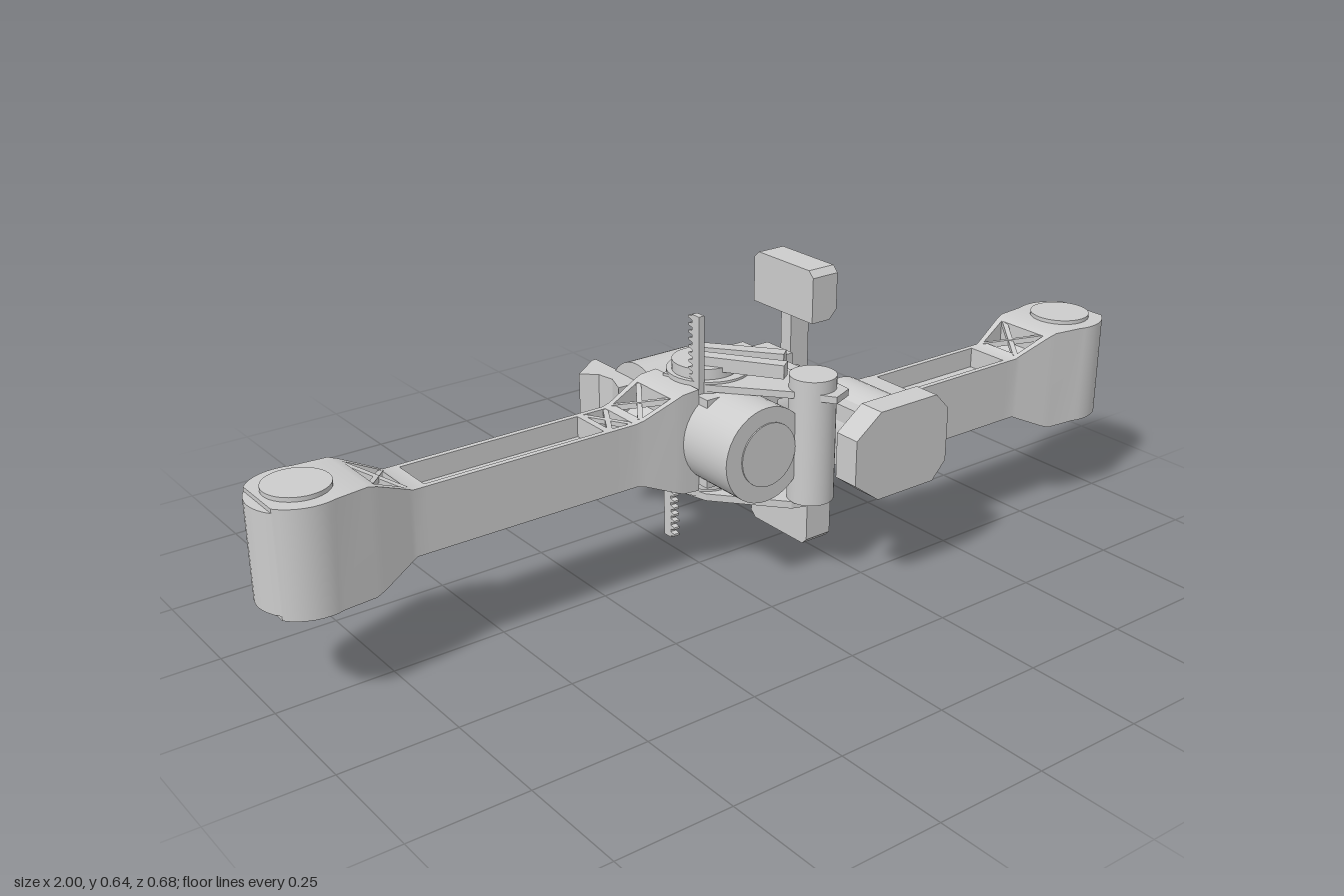
import * as THREE from 'three';
import { toCreasedNormals } from 'three/addons/utils/BufferGeometryUtils.js';

const grey = new THREE.MeshStandardMaterial({ color: 0xcccccc });
grey.name = 'light grey';
const CY = 0.32; // height of the main axis

export function createModel() {
  const model = new THREE.Group();
  model.name = 'jointedMechanism';

  const add = (name, geometry, x = 0, y = 0, z = 0, parent = model) => {
    const m = new THREE.Mesh(geometry, grey);
    m.name = name;
    m.position.set(x, y, z);
    parent.add(m);
    return m;
  };
  // Box given by its limits
  const box = (name, x0, x1, y0, y1, z0, z1) =>
    add(name, new THREE.BoxGeometry(x1 - x0, y1 - y0, z1 - z0),
      (x0 + x1) / 2, (y0 + y1) / 2, (z0 + z1) / 2);
  // Cylinder along one axis from a to b; p and q are its other two coordinates
  const cyl = (name, axis, r, a, b, p, q, parent) => {
    const g = new THREE.CylinderGeometry(r, r, b - a, 40);
    const c = (a + b) / 2;
    if (axis === 'x') return add(name, g.rotateZ(Math.PI / 2), c, p, q, parent);
    if (axis === 'z') return add(name, g.rotateX(Math.PI / 2), p, q, c, parent);
    return add(name, g, p, c, q, parent);
  };
  // Straight bar between two points
  const bar = (name, p, q, w, h, parent) => {
    const a = new THREE.Vector3(...p), b = new THREE.Vector3(...q);
    const m = add(name, new THREE.BoxGeometry(w, h, a.distanceTo(b)), 0, 0, 0, parent);
    m.quaternion.setFromRotationMatrix(new THREE.Matrix4().lookAt(b, a, new THREE.Vector3(0, 1, 0)));
    m.position.copy(a).add(b).multiplyScalar(0.5);
  };
  // Outline extruded by depth along z
  const slab = (points, depth) => new THREE.ExtrudeGeometry(
    new THREE.Shape(points.map(([x, y]) => new THREE.Vector2(x, y))), { depth, bevelEnabled: false });

  // Arm loft: each station is [distance, half width, half height, pocket depth]
  const loft = (stations) => {
    const loops = stations.map(([u, w, h, d]) => {
      const i = w * 0.8;
      return [[w, -h], [w, h], [i, h], [i, h - d], [-i, h - d], [-i, h],
        [-w, h], [-w, -h], [-i, -h], [-i, d - h], [i, d - h], [i, -h]].map(([z, y]) => [u, y, z]);
    });
    const pos = loops.flat(2), idx = [], n = 12;
    for (let s = 0; s < loops.length - 1; s++) {
      for (let k = 0; k < n; k++) {
        const a = s * n + k, b = s * n + (k + 1) % n;
        idx.push(a, b + n, b, a, a + n, b + n);
      }
    }
    const e = (loops.length - 1) * n;
    idx.push(0, 1, 7, 1, 6, 7, e, e + 7, e + 1, e + 1, e + 7, e + 6);
    const g = new THREE.BufferGeometry();
    g.setAttribute('position', new THREE.Float32BufferAttribute(pos, 3));
    g.setIndex(idx);
    return toCreasedNormals(g, 0.5);
  };

  // Arm pointing along local +x: recessed beam, braces, rounded end with pivot caps
  const arm = (name, inner, pocketStart) => {
    const g = new THREE.Group();
    g.name = name;
    const c = 0.903, r = 0.097, D = 0.045;
    const st = [...inner,
      [pocketStart, 0.06, 0.07, 0], [pocketStart, 0.06, 0.07, D], [0.67, 0.06, 0.07, D], [0.67, 0.06, 0.07, 0],
      [0.7, 0.06, 0.07, 0], [0.71, 0.062, 0.075, 0], [0.71, 0.062, 0.075, D],
      [0.78, 0.079, 0.107, D], [0.78, 0.079, 0.107, 0], [0.8, 0.083, 0.114, 0]];
    for (let i = 0; i <= 12; i++) {
      const t = (110 - i * 9.1) * Math.PI / 180;
      const u = c + r * Math.cos(t), w = Math.max(r * Math.sin(t), 0.005);
      st.push([u, w, i < 9 ? 0.113 : 0.104, 0]);
      if (i === 8) st.push([u, w, 0.104, 0]);
    }
    add('armBeam', loft(st), 0, 0, 0, g);
    for (const s of [-1, 1]) {
      cyl('pivotCap', 'y', 0.066, s * 0.115 - 0.007, s * 0.115 + 0.007, c, 0, g);
      // cross braces on the sloping shoulder
      for (const k of [-1, 1]) {
        bar('shoulderBrace', [0.71, s * 0.068, -k * 0.048], [0.785, s * 0.102, k * 0.06], 0.011, 0.012, g);
      }
    }
    g.position.y = CY;
    model.add(g);
    return g;
  };

  // Long arm reaching to the right (-x)
  const longArm = arm('rightArm', [[0.04, 0.075, 0.115, 0], [0.08, 0.075, 0.112, 0], [0.1, 0.073, 0.104, 0],
    [0.1, 0.073, 0.104, 0.045], [0.17, 0.062, 0.074, 0.045], [0.17, 0.062, 0.074, 0],
    [0.19, 0.06, 0.07, 0], [0.19, 0.06, 0.07, 0.045], [0.245, 0.06, 0.07, 0.045], [0.245, 0.06, 0.07, 0]], 0.26);
  longArm.rotation.y = Math.PI;
  longArm.position.z = -0.024;
  for (const s of [-1, 1]) for (const k of [-1, 1]) {
    bar('innerBrace', [0.1, s * 0.098, -k * 0.055], [0.17, s * 0.068, k * 0.048], 0.011, 0.012, longArm);
    bar('innerBrace', [0.19, s * 0.064, -k * 0.048], [0.245, s * 0.064, k * 0.048], 0.011, 0.01, longArm);
  }
  // Short arm reaching to the left (+x)
  const shortArm = arm('leftArm', [[0.3, 0.06, 0.07, 0]], 0.38);
  shortArm.position.z = 0.187;

  // Inner motor of the left arm and its chamfered end plate
  cyl('leftArmMotor', 'z', 0.085, 0.12, 0.28, 0.288, CY);
  box('motorHousing', 0.21, 0.365, 0.25, 0.39, 0.125, 0.275);
  add('frontPad', slab([[0.14, 0.27], [0.205, 0.222], [0.36, 0.222], [0.396, 0.26],
    [0.396, 0.38], [0.36, 0.418], [0.205, 0.418], [0.14, 0.37]], 0.06), 0, 0, 0.28);

  // Central body with motors facing front, left and back
  box('bodyCore', -0.04, 0.15, 0.22, 0.42, -0.1, 0.08);
  cyl('bodyPivot', 'y', 0.09, 0.2, 0.445, 0.04, -0.02);
  cyl('frontMotor', 'z', 0.105, 0.04, 0.194, 0.025, CY);
  cyl('frontMotorFace', 'z', 0.07, 0.194, 0.197, 0.03, CY);
  cyl('backMotor', 'x', 0.1, -0.035, 0.13, CY, -0.178);
  cyl('backMotorFace', 'x', 0.061, 0.13, 0.133, CY, -0.178);
  cyl('sideMotor', 'x', 0.076, 0.12, 0.225, CY, -0.017);
  cyl('sideMotorFace', 'x', 0.058, 0.225, 0.25, CY, -0.017);

  // Flared pad on the back motor
  const pad = add('backPad', slab([[-0.11, 0.29], [-0.04, 0.342], [-0.03, 0.342],
    [-0.03, 0.17], [-0.088, 0.17], [-0.07, 0.22], [-0.078, 0.26]], 0.12), 0, 0.26, 0);
  pad.rotation.x = -Math.PI / 2;

  // Corner blocks of the body
  for (const y of [0.235, 0.405]) for (const z of [-0.095, 0.06]) {
    box('cornerBlock', 0.1, 0.21, y - 0.03, y + 0.03, z - 0.02, z + 0.02);
  }

  // Side foot: upright with a chamfered block at each end
  box('footUpright', 0.25, 0.3, 0.1, 0.54, -0.033, 0);
  for (const s of [-1, 1]) {
    const name = s > 0 ? 'upperFoot' : 'lowerFoot';
    const block = slab([[-0.08, 0.225], [0.115, 0.225], [0.115, 0.306], [0.1, 0.32],
      [-0.066, 0.32], [-0.08, 0.306]].map(([a, b]) => [a, s * b]), 0.068);
    add(name, block, 0.24, CY, 0).rotation.y = Math.PI / 2;
    const taper = [[0.24, 0.205], [0.288, 0.205], [0.308, 0.225], [0.24, 0.225]].map(([a, b]) => [a, s * b]);
    add(name + 'Taper', slab(taper, 0.195), 0, CY, -0.115);
    box('uprightClamp', 0.2, 0.27, CY + s * 0.07 - 0.012, CY + s * 0.07 + 0.012, -0.047, 0.014);
    box('uprightClaw', 0.13, 0.235, CY + s * 0.105 - 0.02, CY + s * 0.105 + 0.02, -0.06, 0.025);
  }

  // Toothed racks passing through the body
  const rack = (name, y0, y1, back, dir) => {
    const pts = [[back, y0], [back + dir * 0.024, y0]];
    const n = Math.round((y1 - y0) / 0.016), p = (y1 - y0) / n;
    for (let i = 0; i < n; i++) {
      pts.push([back + dir * 0.024, y0 + (i + 0.25) * p], [back + dir * 0.036, y0 + (i + 0.4) * p],
        [back + dir * 0.036, y0 + (i + 0.7) * p], [back + dir * 0.024, y0 + (i + 0.85) * p]);
    }
    pts.push([back + dir * 0.024, y1], [back, y1]);
    add(name, slab(pts.map(([z, y]) => [-z, y]), 0.014), -0.035, 0, 0).rotation.y = Math.PI / 2;
  };
  rack('upperRack', 0.3, 0.59, 0.045, -1);
  rack('lowerRack', 0.05, 0.34, -0.08, 1);

  // Linkage plates joining the body to the left arm's hinge, above and below
  const flat = (name, y, h, tip) => {
    const plate = [[-0.05, 0.06], [0.01, 0.08], [0.07, 0.06], [0.21, -0.13],
      [0.2, 0.02 - tip], [0.15, -tip], [0.1, -0.19], [-0.02, -0.05]];
    add(name, slab(plate, h), 0, y, 0).rotation.x = -Math.PI / 2;
  };
  flat('upperLinkPlate', 0.425, 0.015, 0.265);
  flat('lowerLinkPlate', 0.175, 0.016, 0.206);
  bar('linkRod', [0.03, 0.477, -0.05], [0.15, 0.477, 0.1], 0.03, 0.024);
  bar('linkRod', [0.0, 0.473, -0.01], [0.11, 0.473, 0.15], 0.03, 0.03);
  bar('upperStrut', [0.09, 0.465, 0.02], [0.19, 0.41, 0.15], 0.03, 0.02);
  bar('lowerStrut', [0.1, 0.185, 0.02], [0.21, 0.25, 0.14], 0.03, 0.02);
  cyl('upperPivotBoss', 'y', 0.07, 0.43, 0.468, 0.03, -0.02);
  cyl('lowerPivotBoss', 'y', 0.075, 0.18, 0.21, 0.03, -0.02);
  cyl('hingePin', 'y', 0.05, 0.19, 0.468, 0.15, 0.19);

  return model;
}
